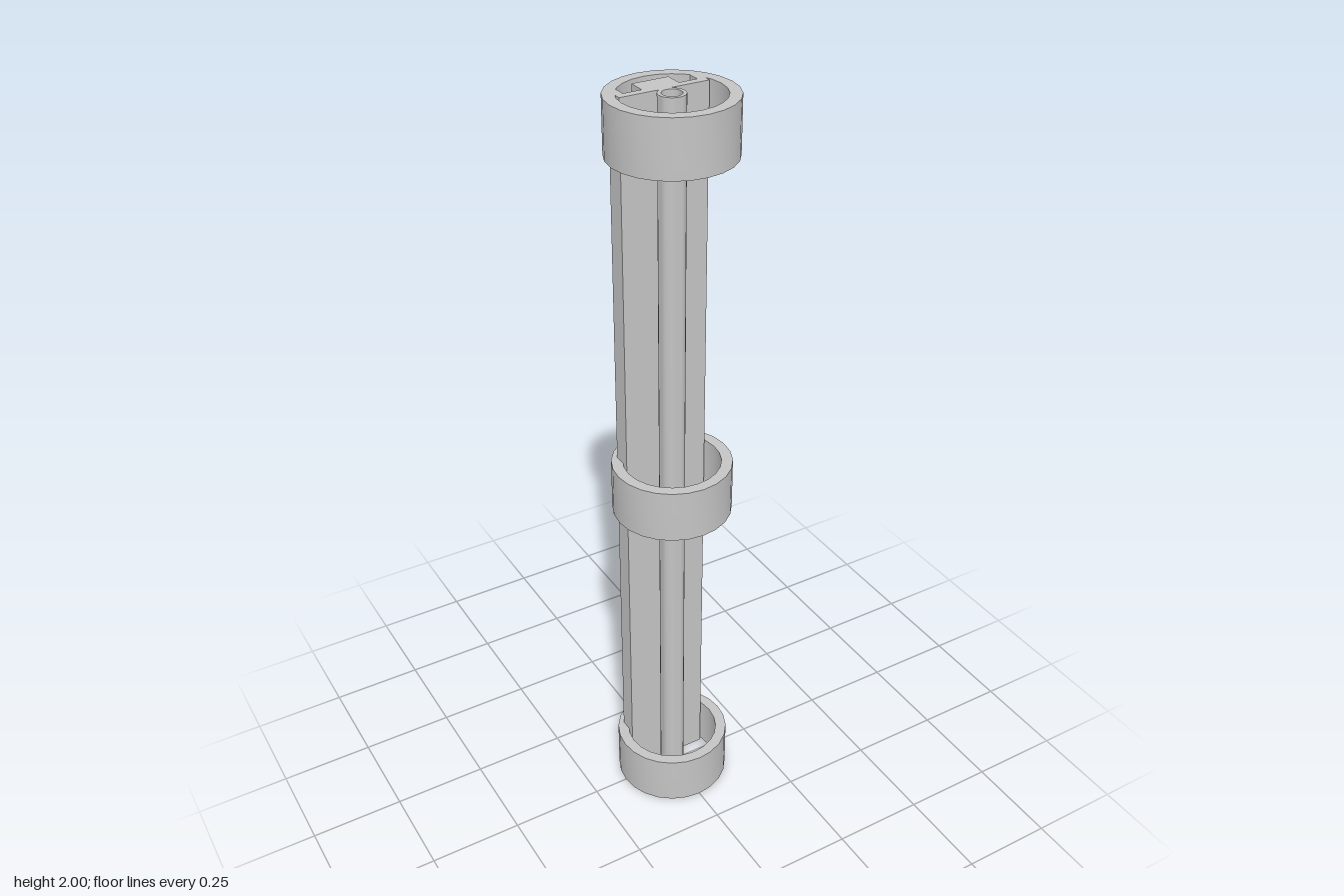
import * as THREE from 'three';
import { toCreasedNormals } from 'three/addons/utils/BufferGeometryUtils.js';

const HEIGHT = 2;

// points of a regular polygon with a corner on the z axis
function circlePoints(radius, sides) {
  return Array.from({ length: sides }, (_, i) => {
    const a = (i / sides) * Math.PI * 2;
    return new THREE.Vector2(radius * Math.cos(a), radius * Math.sin(a));
  });
}

function annulus(outer, inner, sides) {
  const shape = new THREE.Shape(circlePoints(outer, sides));
  shape.holes.push(new THREE.Path(circlePoints(inner, sides)));
  return shape;
}

// plan shape (x, -z) raised along y
function prism(shape, y0, y1) {
  const g = new THREE.ExtrudeGeometry(shape, { depth: y1 - y0, bevelEnabled: false });
  g.rotateX(-Math.PI / 2);
  g.translate(0, y0, 0);
  return toCreasedNormals(g, 0.6);
}

export function createModel() {
  const model = new THREE.Group();
  const grey = new THREE.MeshStandardMaterial({ color: 0xc4c4c4 });
  grey.name = 'grey';

  const add = (name, shape, y0, y1) => {
    const mesh = new THREE.Mesh(prism(shape, y0, y1), grey);
    mesh.name = name;
    model.add(mesh);
  };

  // three open collars
  const collar = annulus(0.154, 0.125, 24);
  add('bottomCollar', collar, 0, 0.14);
  add('middleCollar', collar, 0.912, 1.052);
  add('topCollar', collar, 1.86, HEIGHT);

  // channel-shaped rail: front plate with two flanges turned to the back
  const rail = new THREE.Shape([
    [-0.114, 0.03], [0.114, 0.03], [0.114, 0.08], [0.094, 0.08],
    [0.094, 0.05], [-0.094, 0.05], [-0.094, 0.08], [-0.114, 0.08],
  ].map(([x, y]) => new THREE.Vector2(x, y)));
  add('channelRail', rail, 0, HEIGHT);

  // hollow rod in front of the rail, with a narrow web joining them
  add('centreTube', annulus(0.033, 0.024, 24), 0, HEIGHT);
  const web = new THREE.Shape([
    [-0.016, 0.0275], [0, 0.031], [0.016, 0.0275], [0.016, 0.031], [-0.016, 0.031],
  ].map(([x, y]) => new THREE.Vector2(x, y)));
  add('tubeWeb', web, 0, HEIGHT);

  // block behind the rail inside the top collar
  const block = new THREE.Shape([
    [-0.047, 0.049], [0.047, 0.049], [0.047, 0.096], [-0.047, 0.096],
  ].map(([x, y]) => new THREE.Vector2(x, y)));
  add('topBlock', block, 1.86, HEIGHT);

  return model;
}
